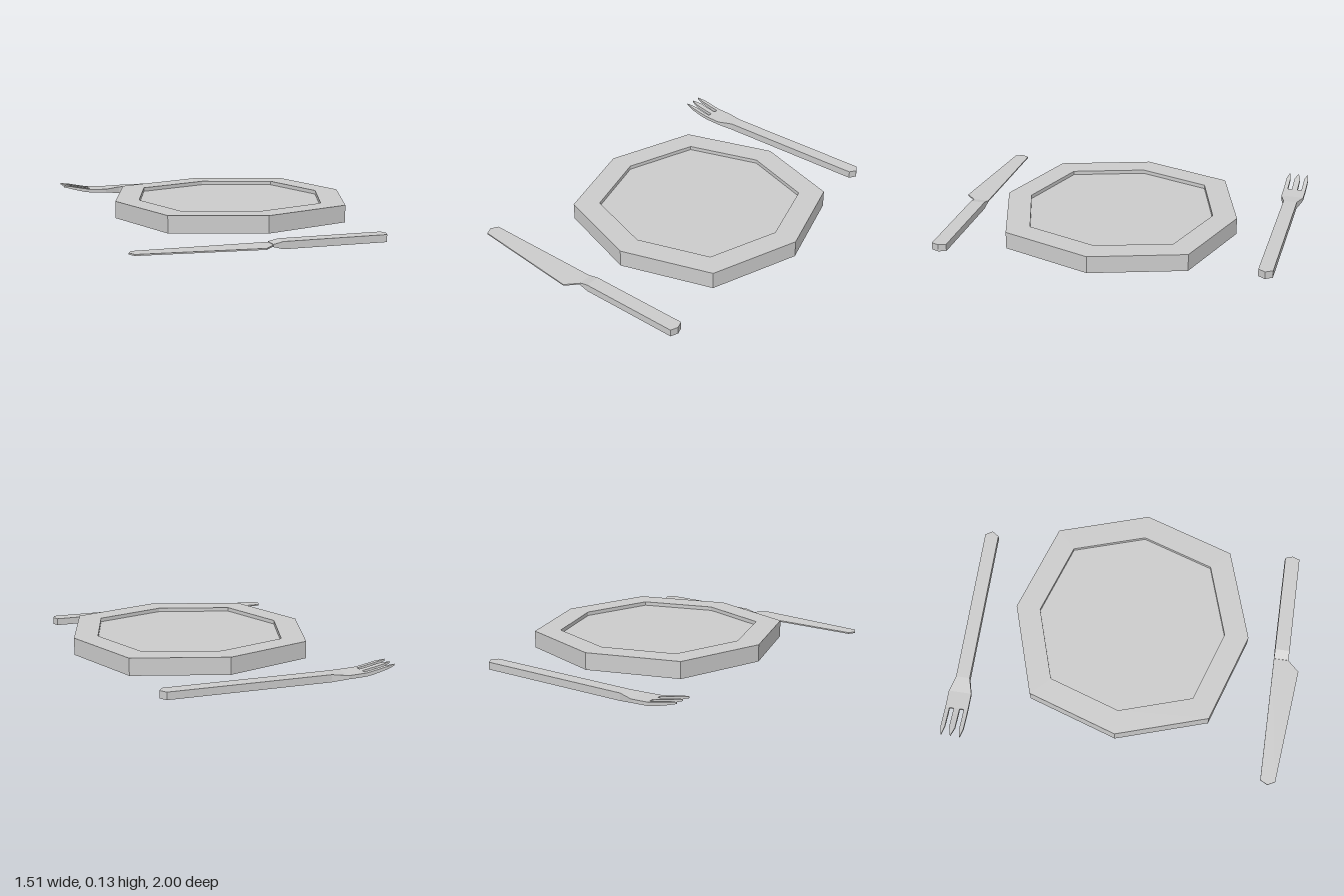
import * as THREE from 'three';

const material = new THREE.MeshStandardMaterial({ color: 0xcccccc, flatShading: true });

// Box-section loft along x; each station is [x, zMin, zMax, yMin, yMax], x ascending
function loft(name, stations) {
  const pos = [], index = [];
  for (const [x, z0, z1, y0, y1] of stations) {
    pos.push(x, y0, z0, x, y1, z0, x, y1, z1, x, y0, z1);
  }
  for (let s = 0; s < stations.length - 1; s++) {
    for (let i = 0; i < 4; i++) {
      const a = s * 4 + i, b = s * 4 + (i + 1) % 4;
      index.push(a, b, a + 4, b, b + 4, a + 4);
    }
  }
  const e = (stations.length - 1) * 4;
  index.push(0, 2, 1, 0, 3, 2, e, e + 1, e + 2, e, e + 2, e + 3);
  let geo = new THREE.BufferGeometry();
  geo.setAttribute('position', new THREE.Float32BufferAttribute(pos, 3));
  geo.setIndex(index);
  geo = geo.toNonIndexed();
  geo.computeVertexNormals();
  const mesh = new THREE.Mesh(geo, material);
  mesh.name = name;
  return mesh;
}

// Eight-sided plate with a sunken centre; diagonal corners pushed slightly outward
function makePlate() {
  const profile = [[0, 0.033], [0.685, 0.033], [0.685, 0.131], [0.545, 0.131], [0.545, 0.109], [0, 0.109]]
    .map(([r, y]) => new THREE.Vector2(r, y));
  const geo = new THREE.LatheGeometry(profile, 8).toNonIndexed();
  const p = geo.attributes.position;
  for (let i = 0; i < p.count; i++) {
    const x = p.getX(i), z = p.getZ(i);
    const k = Math.abs(x * z) > 0.01 ? 1.068 : 1;
    p.setXYZ(i, x * k, p.getY(i), z * k);
  }
  geo.computeVertexNormals();
  const plate = new THREE.Mesh(geo, material);
  plate.name = 'plate';
  plate.position.set(0.068, 0, -0.008);
  return plate;
}

function makeKnife() {
  const knife = new THREE.Group();
  knife.name = 'knife';
  knife.add(
    loft('knifeBlade', [
      [-0.757, 0.887, 0.888, 0.018, 0.026],
      [-0.735, 0.845, 0.93, 0.018, 0.026],
      [-0.06, 0.845, 0.995, 0.018, 0.026],
      [0, 0.845, 0.93, 0.018, 0.026],
    ]),
    loft('knifeHandle', [
      [0, 0.845, 0.93, 0.015, 0.029],
      [0.055, 0.845, 0.93, 0, 0.041],
      [0.645, 0.845, 0.93, 0, 0.041],
      [0.66, 0.887, 0.888, 0, 0.041],
    ]),
  );
  return knife;
}

function makeFork() {
  const fork = new THREE.Group();
  fork.name = 'fork';
  const c = -0.934;
  // Handle, flared neck and flat head
  fork.add(loft('forkHandle', [
    [-0.58, c - 0.066, c + 0.066, 0.042, 0.062],
    [-0.48, c - 0.066, c + 0.066, 0.038, 0.058],
    [-0.39, c - 0.04, c + 0.04, 0.023, 0.065],
    [0.525, c - 0.04, c + 0.04, 0.023, 0.065],
    [0.55, c - 0.001, c + 0.001, 0.023, 0.065],
  ]));
  // Three upturned tines: [inner edge, outer edge, tip] offsets
  for (const [z0, z1, tip] of [[-0.066, -0.042, -0.054], [-0.017, 0.017, 0], [0.042, 0.066, 0.054]]) {
    fork.add(loft('forkTine', [
      [-0.752, c + tip - 0.001, c + tip + 0.001, 0.083, 0.093],
      [-0.7, c + z0, c + z1, 0.069, 0.085],
      [-0.62, c + z0, c + z1, 0.048, 0.069],
      [-0.58, c + z0, c + z1, 0.042, 0.062],
    ]));
  }
  return fork;
}

export function createModel() {
  const model = new THREE.Group();
  model.name = 'placeSetting';
  model.add(makePlate(), makeKnife(), makeFork());
  return model;
}
